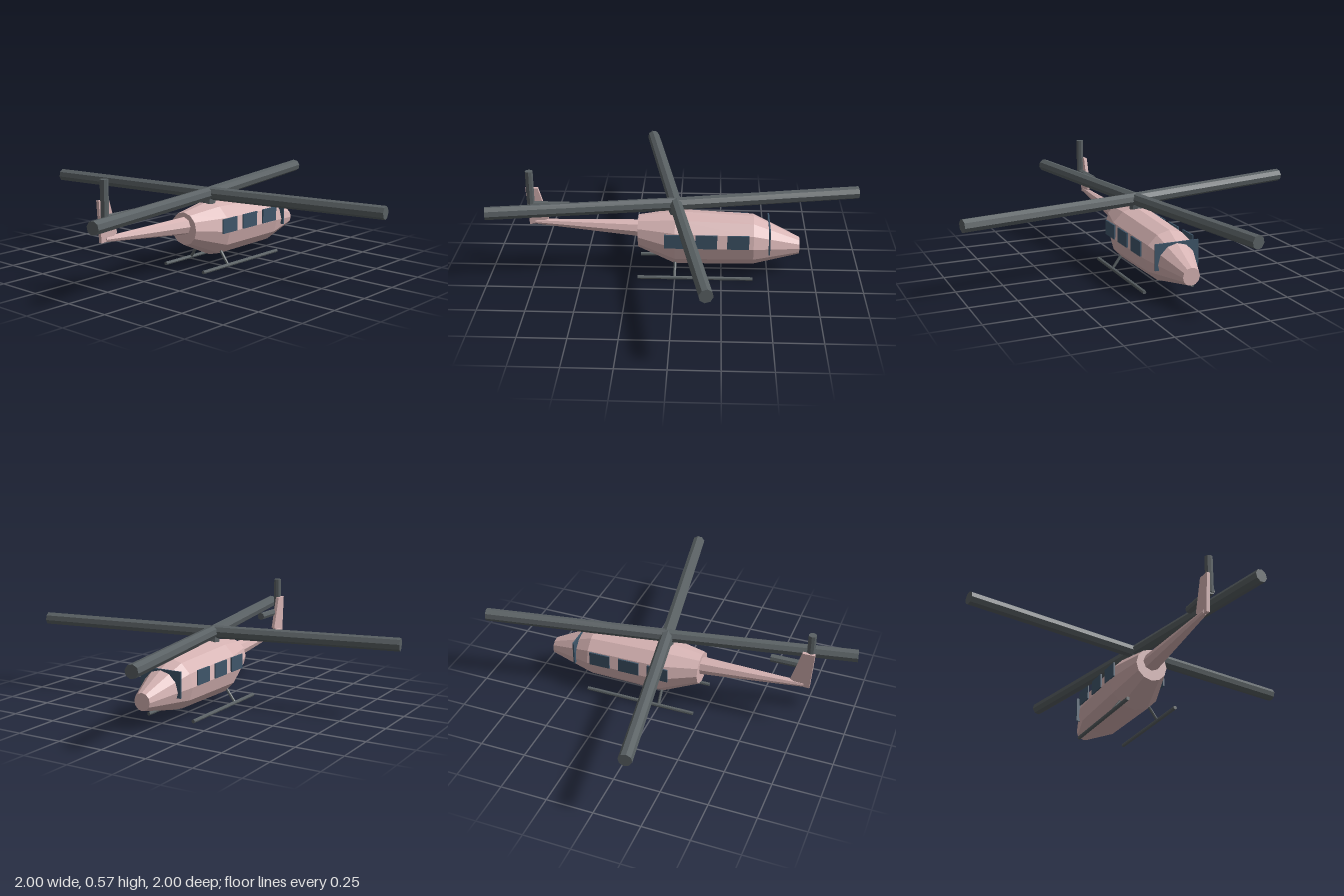
import * as THREE from 'three';

const mat = (name, color, extra = {}) => {
  const m = new THREE.MeshStandardMaterial({ color, flatShading: true, ...extra });
  m.name = name;
  return m;
};

// Closed loft through circular rings [z, centreY, radius], listed from +z to -z
function loft(rings, sides) {
  const first = rings[0], last = rings[rings.length - 1];
  const all = [[first[0], first[1], 0], ...rings, [last[0], last[1], 0]];
  const pos = [], index = [];
  for (const [z, cy, r] of all) {
    for (let i = 0; i < sides; i++) {
      const a = (i / sides) * Math.PI * 2;
      pos.push(r * Math.cos(a), cy + r * Math.sin(a), z);
    }
  }
  for (let k = 0; k < all.length - 1; k++) {
    for (let i = 0; i < sides; i++) {
      const j = (i + 1) % sides;
      const a = k * sides + i, b = k * sides + j, c = a + sides, d = b + sides;
      if (all[k][2] > 0) index.push(a, c, b);
      if (all[k + 1][2] > 0) index.push(b, c, d);
    }
  }
  const indexed = new THREE.BufferGeometry();
  indexed.setAttribute('position', new THREE.Float32BufferAttribute(pos, 3));
  indexed.setIndex(index);
  const g = indexed.toNonIndexed();
  g.computeVertexNormals();
  return g;
}

export function createModel() {
  const model = new THREE.Group();
  model.name = 'helicopter';
  const bodyPaint = mat('body pink', 0xd6b3b3);
  const darkMetal = mat('dark grey', 0x596063);
  const glass = mat('window blue', 0x3f566a);

  const add = (name, geometry, material, x = 0, y = 0, z = 0) => {
    const mesh = new THREE.Mesh(geometry, material);
    mesh.name = name;
    mesh.position.set(x, y, z);
    model.add(mesh);
    return mesh;
  };

  // Straight rod between two points
  const rod = (name, from, to, radius, sides) => {
    const a = new THREE.Vector3(...from), b = new THREE.Vector3(...to);
    const dir = b.clone().sub(a);
    const mesh = add(name, new THREE.CylinderGeometry(radius, radius, dir.length(), sides), darkMetal);
    mesh.position.copy(a).add(b).multiplyScalar(0.5);
    mesh.quaternion.setFromUnitVectors(new THREE.Vector3(0, 1, 0), dir.normalize());
    return mesh;
  };

  // Fuselage, with its nose towards -z, and tail boom
  add('fuselage', loft([
    [0.2, 0.228, 0.088], [0, 0.198, 0.148], [-0.42, 0.19, 0.136], [-0.67, 0.155, 0.046],
  ], 12), bodyPaint);
  add('tailBoom', loft([[0.76, 0.273, 0.014], [0.18, 0.243, 0.049]], 8), bodyPaint);

  // Tail fin, drawn as (-z, y) and turned into the side plane
  const fin = new THREE.Shape([
    [-0.79, 0.26], [-0.75, 0.262], [-0.686, 0.295], [-0.737, 0.47], [-0.803, 0.47],
  ].map(([x, y]) => new THREE.Vector2(x, y)));
  const finGeometry = new THREE.ExtrudeGeometry(fin, { depth: 0.018, bevelEnabled: false });
  finGeometry.translate(0, 0, -0.009);
  finGeometry.rotateY(Math.PI / 2);
  add('tailFin', finGeometry, bodyPaint);

  // Main rotor: four slightly raised blades on a short mast
  add('mast', new THREE.CylinderGeometry(0.03, 0.036, 0.07, 8), darkMetal, 0, 0.36, 0);
  for (let i = 0; i < 4; i++) {
    const a = (10 * Math.PI) / 180 + (i * Math.PI) / 2;
    rod('mainBlade', [0, 0.39, 0], [1.009 * Math.cos(a), 0.396, -1.009 * Math.sin(a)], 0.035, 8);
  }

  // Tail rotor: one upright blade and one pointing forward
  rod('tailBladeUp', [0.02, 0.37, 0.776], [0.02, 0.575, 0.776], 0.021, 8);
  rod('tailBladeForward', [0.02, 0.38, 0.79], [0.02, 0.38, 0.57], 0.021, 8);

  // Skids, struts and side windows
  for (const s of [-1, 1]) {
    rod('skid', [s * 0.136, 0.014, 0.2], [s * 0.136, 0.014, -0.42], 0.01, 8);
    rod('strut', [s * 0.08, 0.09, 0], [s * 0.136, 0.014, 0], 0.008, 8);
    for (const z of [-0.002, -0.168, -0.337]) {
      add('sideWindow', new THREE.BoxGeometry(0.008, 0.078, 0.116), glass, s * 0.147, 0.236, z);
    }
  }

  // Upright windscreen plate across the nose
  add('windscreen', new THREE.BoxGeometry(0.24, 0.137, 0.008), glass, 0, 0.219, -0.505);

  return model;
}
